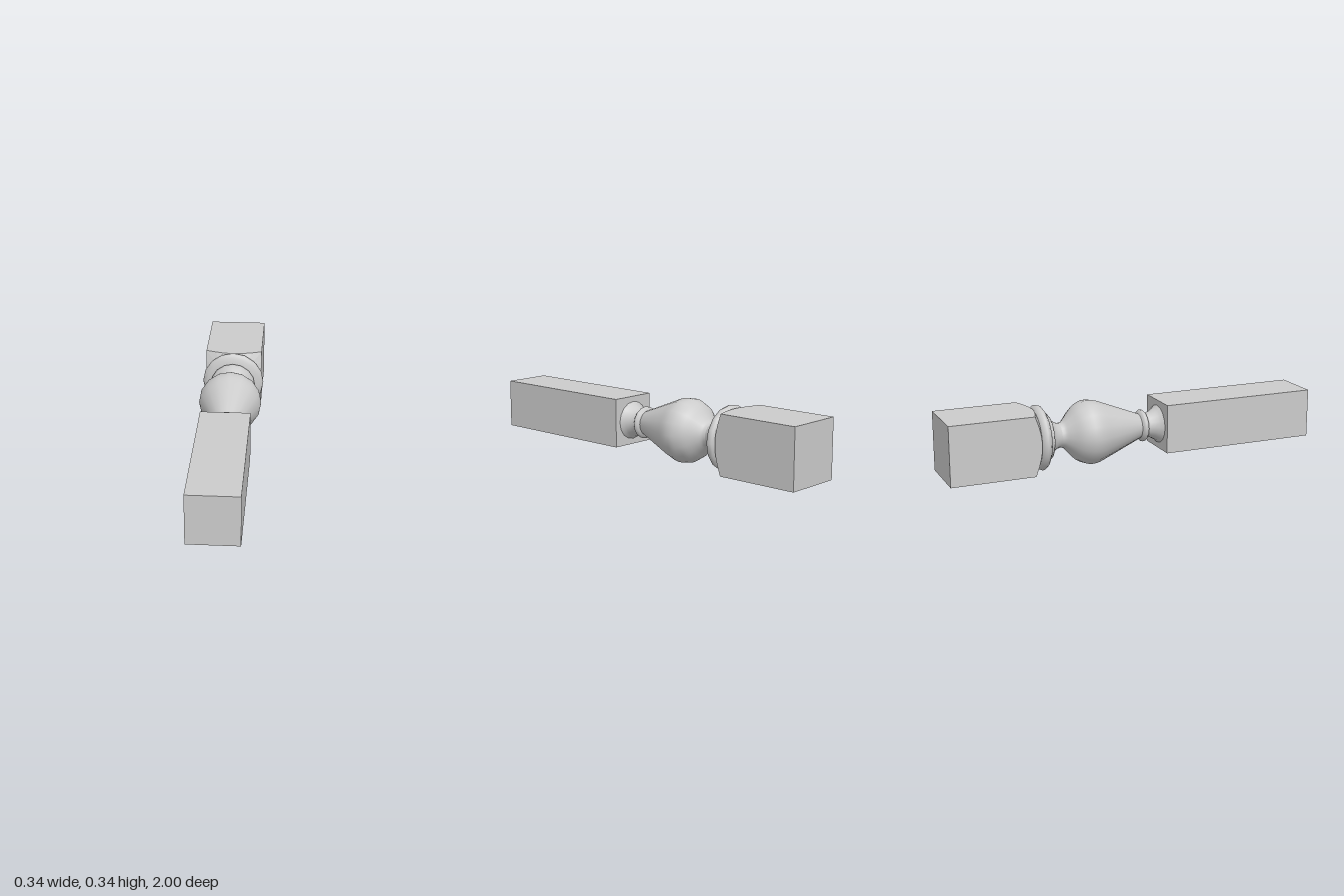
import * as THREE from 'three';

const CX = -0.004, CY = 0.17;
const material = new THREE.MeshStandardMaterial({ color: 0xcccccc });

function addPart(group, name, geometry) {
  const mesh = new THREE.Mesh(geometry, material);
  mesh.name = name;
  group.add(mesh);
  return mesh;
}

// Turned section along z; profile is [z, radius] with z increasing
function turned(profile, smooth = 0) {
  let points = profile.map(([z, r]) => new THREE.Vector2(r, z));
  if (smooth) points = new THREE.SplineCurve(points).getPoints(smooth);
  return new THREE.LatheGeometry(points, 16).rotateX(Math.PI / 2);
}

// Square block whose front corners are turned down to a cone
function turnedBlock(half, zBack, zFront, slope) {
  const n = 32, pos = [];
  const ring = (i) => {
    const a = (i / n) * Math.PI * 2;
    const c = Math.cos(a), s = Math.sin(a);
    const r = half / Math.max(Math.abs(c), Math.abs(s));
    return {
      back: [c * r, s * r, zBack],
      edge: [c * r, s * r, zFront - (r - half) * slope],
      front: [c * half, s * half, zFront],
    };
  };
  const tri = (...corners) => corners.forEach((p) => pos.push(...p));
  for (let i = 0; i < n; i++) {
    const a = ring(i), b = ring(i + 1);
    tri([0, 0, zBack], b.back, a.back);
    tri(a.back, b.back, b.edge);
    tri(a.back, b.edge, a.edge);
    tri(a.edge, b.edge, b.front);
    tri(a.edge, b.front, a.front);
    tri(a.front, b.front, [0, 0, zFront]);
  }
  const g = new THREE.BufferGeometry();
  g.setAttribute('position', new THREE.Float32BufferAttribute(pos, 3));
  g.computeVertexNormals();
  return g;
}

export function createModel() {
  const model = new THREE.Group();
  model.name = 'turnedLeg';
  const leg = new THREE.Group();
  leg.name = 'leg';
  leg.position.set(CX, CY, 0);
  model.add(leg);

  // Square ends
  addPart(leg, 'lowerBlock', new THREE.BoxGeometry(0.256, 0.256, 0.84)).position.z = 0.58;
  addPart(leg, 'upperBlock', turnedBlock(0.154, -1, -0.53, 0.55));

  // Large ring against the upper block
  addPart(leg, 'collarRing', turned([
    [-0.532, 0.125], [-0.527, 0.145], [-0.515, 0.162], [-0.5, 0.168],
    [-0.485, 0.163], [-0.473, 0.145], [-0.465, 0.11], [-0.462, 0.08],
  ]));

  // Thin disc and the cove beneath it
  addPart(leg, 'neckDisc', turned([
    [-0.47, 0.09], [-0.464, 0.112], [-0.456, 0.122], [-0.448, 0.114],
    [-0.443, 0.095], [-0.43, 0.082], [-0.41, 0.068], [-0.39, 0.063],
  ]));

  // Bulbous vase
  addPart(leg, 'vase', turned([
    [-0.39, 0.063], [-0.37, 0.069], [-0.345, 0.094], [-0.305, 0.137],
    [-0.265, 0.16], [-0.23, 0.167], [-0.19, 0.161], [-0.13, 0.138],
    [-0.04, 0.102], [0.05, 0.066],
  ], 36));

  // Small bead
  addPart(leg, 'bead', turned([
    [0.05, 0.065], [0.056, 0.077], [0.064, 0.084], [0.073, 0.084],
    [0.081, 0.077], [0.086, 0.064],
  ]));

  // Flared foot meeting the lower block
  addPart(leg, 'flare', turned([
    [0.084, 0.065], [0.1, 0.065], [0.12, 0.071], [0.137, 0.081],
    [0.148, 0.088], [0.157, 0.098], [0.162, 0.101],
  ]));

  return model;
}
